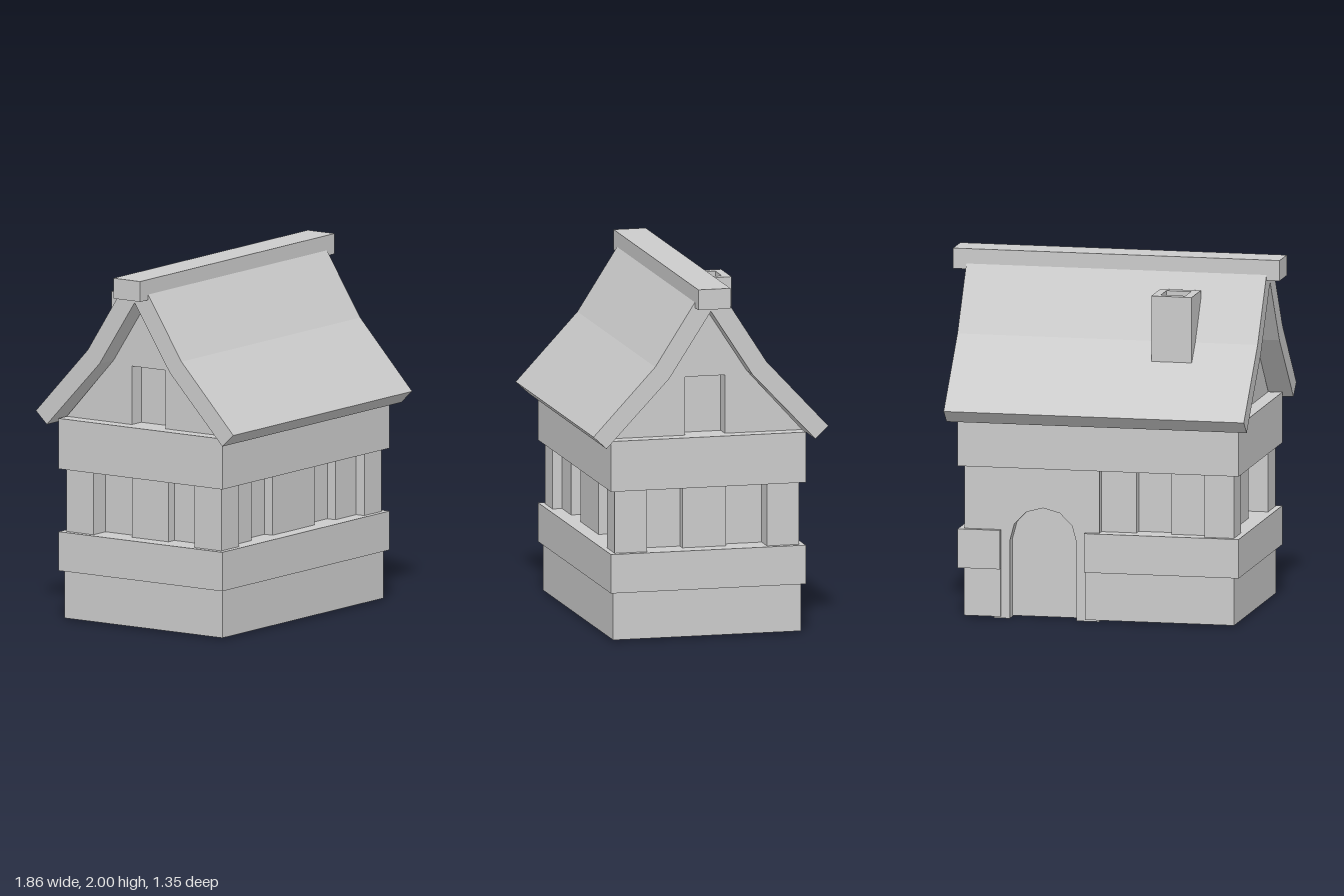
import * as THREE from 'three';

export function createModel() {
  const house = new THREE.Group();
  house.name = 'house';
  const mat = new THREE.MeshStandardMaterial({ color: 0xcccccc, flatShading: true, side: THREE.DoubleSide });

  const add = (name, geo) => {
    const mesh = new THREE.Mesh(geo, mat);
    mesh.name = name;
    house.add(mesh);
    return mesh;
  };
  // Box given by its min and max along each axis
  const box = (name, x0, x1, y0, y1, z0, z1) =>
    add(name, new THREE.BoxGeometry(x1 - x0, y1 - y0, z1 - z0)
      .translate((x0 + x1) / 2, (y0 + y1) / 2, (z0 + z1) / 2));
  const outline = pts => new THREE.Shape(pts.map(p => new THREE.Vector2(p[0], p[1])));
  const extrude = (shape, depth) => new THREE.ExtrudeGeometry(shape, { depth, bevelEnabled: false, curveSegments: 3 });
  // Extrude a (z, y) profile along x, from x0 to x1
  const alongX = (name, shape, x0, x1) =>
    add(name, extrude(shape, x1 - x0).rotateY(-Math.PI / 2).translate(x1, 0, 0));

  const DOOR = [0.08, 0.56];

  // Stone base: thin walls open below, with a gap for the doorway
  const bx = 0.77, bz = 0.54, t = 0.015, by = [0.01, 0.28];
  box('baseFront', -bx, bx, ...by, bz - t, bz);
  for (const s of [-1, 1]) {
    const x = s * (bx - t / 2);
    box('baseSide', x - t / 2, x + t / 2, ...by, -bz, bz);
  }
  box('baseBack', -bx, DOOR[0], ...by, -bz, -bz + t);
  box('baseBack', DOOR[1], bx, ...by, -bz, -bz + t);

  // Lower band, notched at the doorway (plan drawn in x and -z)
  const band = outline([[-0.8, -0.56], [0.8, -0.56], [0.8, 0.56], [DOOR[1], 0.56],
    [DOOR[1], 0.46], [DOOR[0], 0.46], [DOOR[0], 0.56], [-0.8, 0.56]]);
  add('lowerBand', extrude(band, 0.22).rotateX(-Math.PI / 2).translate(0, 0.28, 0));
  box('upperBand', -0.8, 0.8, 0.855, 1.14, -0.56, 0.56);

  // Window panes are the faces of a recessed core
  const wy = [0.5, 0.855];
  box('windowPanes', -0.65, 0.65, ...wy, -0.42, 0.42);

  // Corner posts and the wall panels between the windows
  for (const sx of [-1, 1]) {
    for (const sz of [-1, 1]) {
      const xs = [sx * 0.6, sx * 0.767].sort((a, b) => a - b);
      const zs = [sz * 0.345, sz * 0.53].sort((a, b) => a - b);
      box('cornerPost', ...xs, ...wy, ...zs);
    }
    const xs = [sx * 0.6, sx * 0.705].sort((a, b) => a - b);
    box('sidePanel', ...xs, ...wy, -0.125, 0.125);
  }
  for (const [a, b] of [[-0.6, -0.4], [-0.2, 0.2], [0.4, 0.6]]) box('frontPanel', a, b, ...wy, 0.4, 0.475);
  for (const [a, b] of [[-0.6, -0.4], [-0.2, 0]]) box('backPanel', a, b, ...wy, -0.475, -0.4);

  // Back wall with an arched doorway
  const dx = 0.32, r = 0.19, spring = 0.44;
  const wall = new THREE.Shape();
  wall.moveTo(0, 0);
  wall.lineTo(0, 0.855);
  wall.lineTo(0.6, 0.855);
  wall.lineTo(0.6, 0);
  wall.lineTo(dx + r, 0);
  for (let i = 0; i <= 6; i++) {
    const a = i * Math.PI / 6;
    wall.lineTo(dx + r * Math.cos(a), spring + r * Math.sin(a));
  }
  wall.lineTo(dx - r, 0);
  add('doorWall', extrude(wall, 0.09).translate(0, 0, -0.53));
  box('door', dx - r - 0.02, dx + r + 0.02, 0.005, 0.66, -0.46, -0.43);

  // Gable walls with a small recessed window
  const gable = outline([[-0.56, 1.14], [-0.24, 1.49], [0, 1.86], [0.24, 1.49], [0.56, 1.14],
    [0.115, 1.14], [0.115, 1.47], [-0.115, 1.47], [-0.115, 1.14]]);
  alongX('gableWall', gable, 0.62, 0.72);
  alongX('gableWall', gable, -0.72, -0.62);
  for (const s of [-1, 1]) box('gableWindow', s * 0.62 - 0.01, s * 0.62 + 0.01, 1.14, 1.49, -0.13, 0.13);

  // Kicked roof and its ridge beam
  const half = [[0.6, 1.11], [0.675, 1.18], [0.32, 1.56], [0.07, 1.95]];
  const mirror = pts => pts.map(([z, y]) => [-z, y]).reverse();
  const roof = outline([...half, ...mirror(half), [-0.24, 1.49], [0, 1.86], [0.24, 1.49]]);
  alongX('roof', roof, -0.855, 0.855);
  box('ridgeBeam', -0.93, 0.93, 1.885, 2, -0.092, 0.092);

  // Hollow square chimney on the back slope
  const stack = outline([[-0.5, 0.18], [-0.27, 0.18], [-0.27, 0.413], [-0.5, 0.413]]);
  stack.holes.push(new THREE.Path(outline([[-0.455, 0.227], [-0.455, 0.368], [-0.315, 0.368], [-0.315, 0.227]]).getPoints()));
  add('chimney', extrude(stack, 0.43).rotateX(-Math.PI / 2).translate(0, 1.4, 0));
  box('chimneyFloor', -0.46, -0.31, 1.67, 1.69, -0.375, -0.22);

  return house;
}
